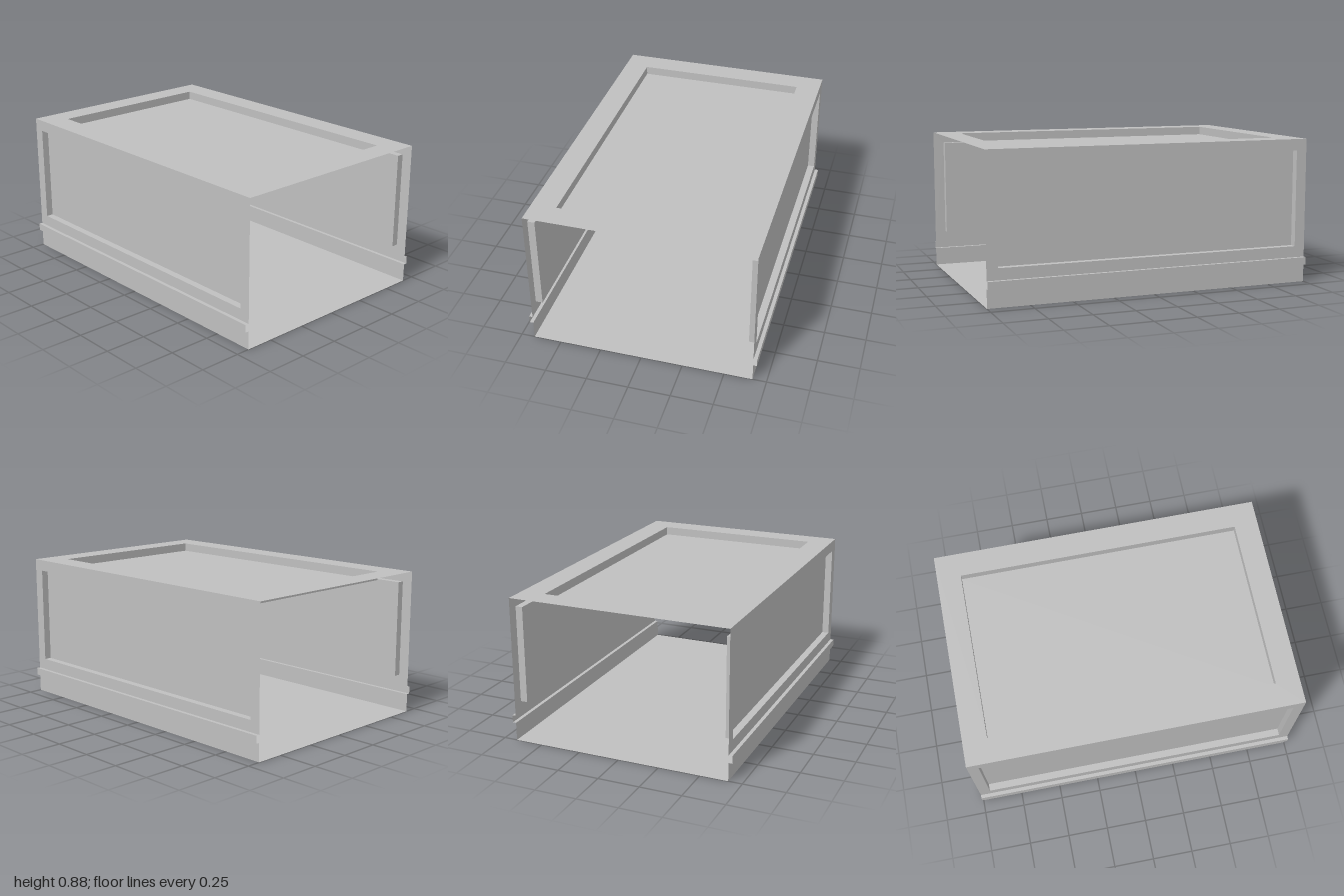
import * as THREE from 'three';

const HALF_W = 0.668, HEIGHT = 0.88, HALF_L = 1;
const RAIL_OUT = 0.69, RAIL_BOTTOM = 0.11, RAIL_TOP = 0.155;

// Flat-shaded surface from four-cornered faces, corners counter-clockwise.
function quadGeometry(quads) {
  const pos = [];
  for (const [a, b, c, d] of quads) pos.push(...a, ...b, ...c, ...a, ...c, ...d);
  const g = new THREE.BufferGeometry();
  g.setAttribute('position', new THREE.Float32BufferAttribute(pos, 3));
  g.computeVertexNormals();
  return g;
}

// Panel facing +z with a rectangular recess pressed into it.
function recessedPanel(w, h, innerW, innerH, depth) {
  const ring = (rw, rh, z) => [
    [-rw / 2, -rh / 2, z], [rw / 2, -rh / 2, z], [rw / 2, rh / 2, z], [-rw / 2, rh / 2, z],
  ];
  const rings = [ring(w, h, 0), ring(innerW, innerH, 0), ring(innerW, innerH, -depth)];
  const quads = [rings[2]];
  for (let r = 0; r < 2; r++) {
    for (let i = 0; i < 4; i++) {
      const j = (i + 1) % 4;
      quads.push([rings[r][i], rings[r][j], rings[r + 1][j], rings[r + 1][i]]);
    }
  }
  return quadGeometry(quads);
}

// Open sheet folded along an x-y profile and running the full length.
function foldedSheet(profile) {
  const quads = [];
  for (let i = 0; i < profile.length - 1; i++) {
    const [x0, y0] = profile[i], [x1, y1] = profile[i + 1];
    quads.push([[x0, y0, HALF_L], [x0, y0, -HALF_L], [x1, y1, -HALF_L], [x1, y1, HALF_L]]);
  }
  return quadGeometry(quads);
}

export function createModel() {
  const model = new THREE.Group();
  model.name = 'openSleeve';
  const grey = new THREE.MeshStandardMaterial({ color: 0xbfbfbf, side: THREE.DoubleSide });
  grey.name = 'plain grey';

  const add = (parent, name, geometry) => {
    const mesh = new THREE.Mesh(geometry, grey);
    mesh.name = name;
    parent.add(mesh);
    return mesh;
  };

  // Floor and recessed roof
  add(model, 'floor', new THREE.PlaneGeometry(2 * HALF_W, 2 * HALF_L).rotateX(Math.PI / 2));
  const roof = add(model, 'roof', recessedPanel(2 * HALF_W, 2 * HALF_L, 1.04, 1.71, 0.052));
  roof.rotation.x = -Math.PI / 2;
  roof.position.y = HEIGHT;

  // Side walls: recessed panel above a hollow outward rail
  const wallH = HEIGHT - RAIL_TOP;
  const panel = recessedPanel(2 * HALF_L, wallH, 1.87, 0.588, 0.043);
  panel.rotateY(Math.PI / 2).translate(HALF_W, RAIL_TOP + wallH / 2, 0);
  const skirt = foldedSheet([[HALF_W, 0], [HALF_W, RAIL_BOTTOM]]);
  const rail = foldedSheet([
    [HALF_W, RAIL_BOTTOM], [RAIL_OUT, RAIL_BOTTOM], [RAIL_OUT, RAIL_TOP], [HALF_W, RAIL_TOP],
  ]);
  for (const [name, turn] of [['leftWall', 0], ['rightWall', Math.PI]]) {
    const wall = new THREE.Group();
    wall.name = name;
    wall.rotation.y = turn;
    add(wall, 'sidePanel', panel);
    add(wall, 'skirt', skirt);
    add(wall, 'rail', rail);
    model.add(wall);
  }
  return model;
}
